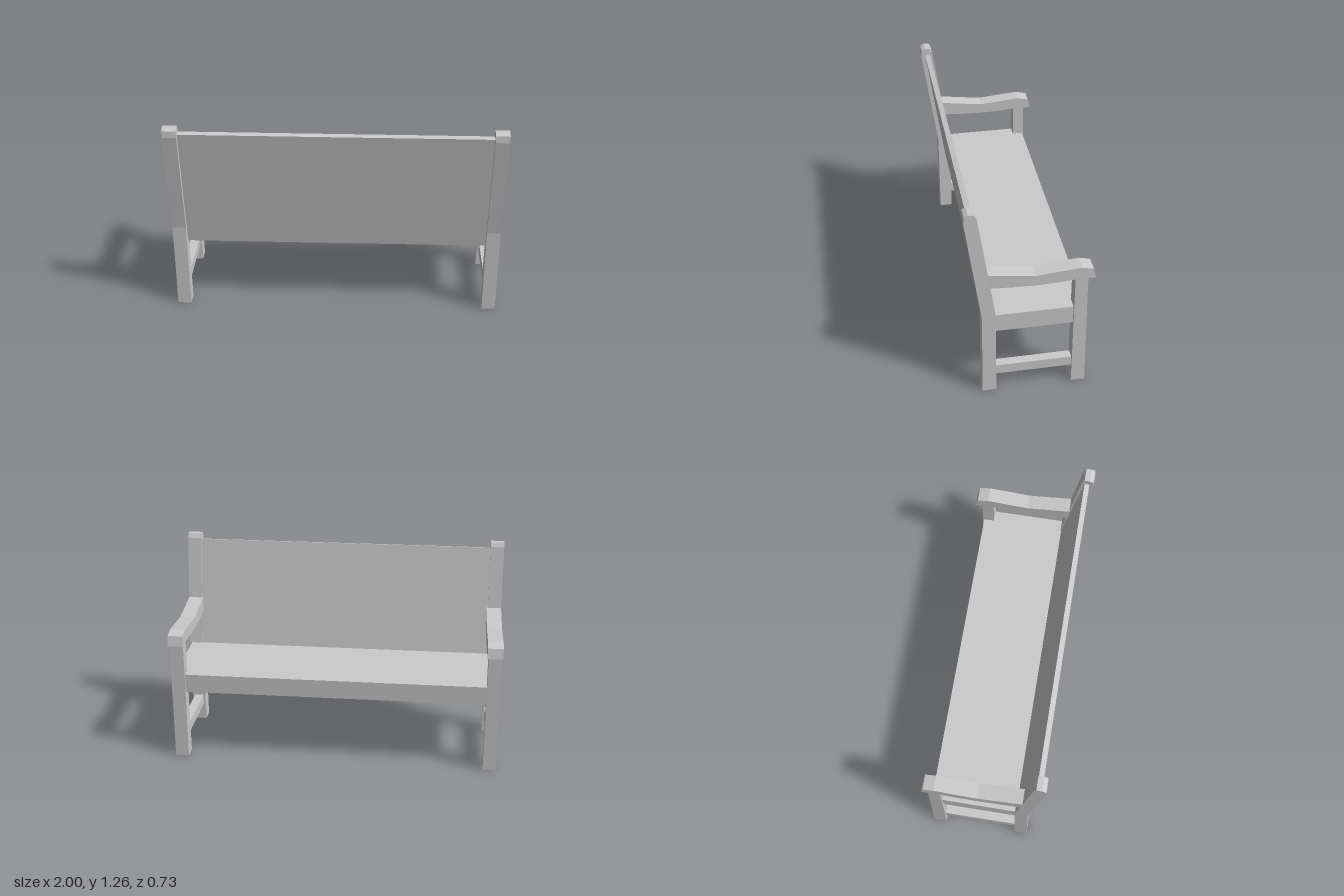
import * as THREE from 'three';

const material = new THREE.MeshStandardMaterial({ color: 0xcccccc, flatShading: true });

// Extrudes a side profile of [z, y] points across the width from x0 to x1
function profile(name, points, x0, x1) {
  const shape = new THREE.Shape(points.map(([z, y]) => new THREE.Vector2(z, y)));
  const geometry = new THREE.ExtrudeGeometry(shape, { depth: x1 - x0, bevelEnabled: false });
  geometry.rotateY(-Math.PI / 2).translate(x1, 0, 0);
  const mesh = new THREE.Mesh(geometry, material);
  mesh.name = name;
  return mesh;
}

function rectangle(z0, z1, y0, y1) {
  return [[z0, y0], [z1, y0], [z1, y1], [z0, y1]];
}

// Back leg that leans backwards above the seat and ends in a rounded tip
const backPost = [
  [0.195, 0], [0.275, 0], [0.275, 0.55], [0.368, 1.205], [0.364, 1.245],
  [0.343, 1.257], [0.31, 1.257], [0.296, 1.23], [0.239, 0.848], [0.195, 0.55],
];

// Dipping armrest with a downturned front end
const armrest = [
  [0.239, 0.848], [0.225, 0.757], [0.1, 0.75], [-0.03, 0.745], [-0.15, 0.749], [-0.25, 0.757],
  [-0.366, 0.757], [-0.351, 0.818], [-0.285, 0.834], [-0.15, 0.823], [-0.03, 0.812], [0.1, 0.829],
];

const frontLeg = [[-0.25, 0], [-0.25, 0.757], [-0.322, 0.757], [-0.331, 0]];

// Sloping back panel reaching down behind the seat
const backPanel = [[0.18, 0.435], [0.23, 0.435], [0.342, 1.213], [0.312, 1.22]];

export function createModel() {
  const model = new THREE.Group();
  model.name = 'bench';

  // Two matching end frames
  for (const side of [-1, 1]) {
    const frame = new THREE.Group();
    frame.name = side > 0 ? 'leftEndFrame' : 'rightEndFrame';
    const add = (name, points, inner, outer) =>
      frame.add(profile(name, points, Math.min(side * inner, side * outer), Math.max(side * inner, side * outer)));
    add('backPost', backPost, 0.917, 1);
    add('frontLeg', frontLeg, 0.917, 1);
    add('armrest', armrest, 0.908, 1);
    add('seatRail', rectangle(-0.25, 0.195, 0.435, 0.55), 0.917, 0.985);
    add('lowerRail', rectangle(-0.25, 0.195, 0.11, 0.172), 0.93, 0.985);
    model.add(frame);
  }

  // Seat and back panel spanning between the frames
  model.add(profile('seat', rectangle(-0.315, 0.2, 0.435, 0.55), -0.917, 0.917));
  model.add(profile('backPanel', backPanel, -0.917, 0.917));
  return model;
}
